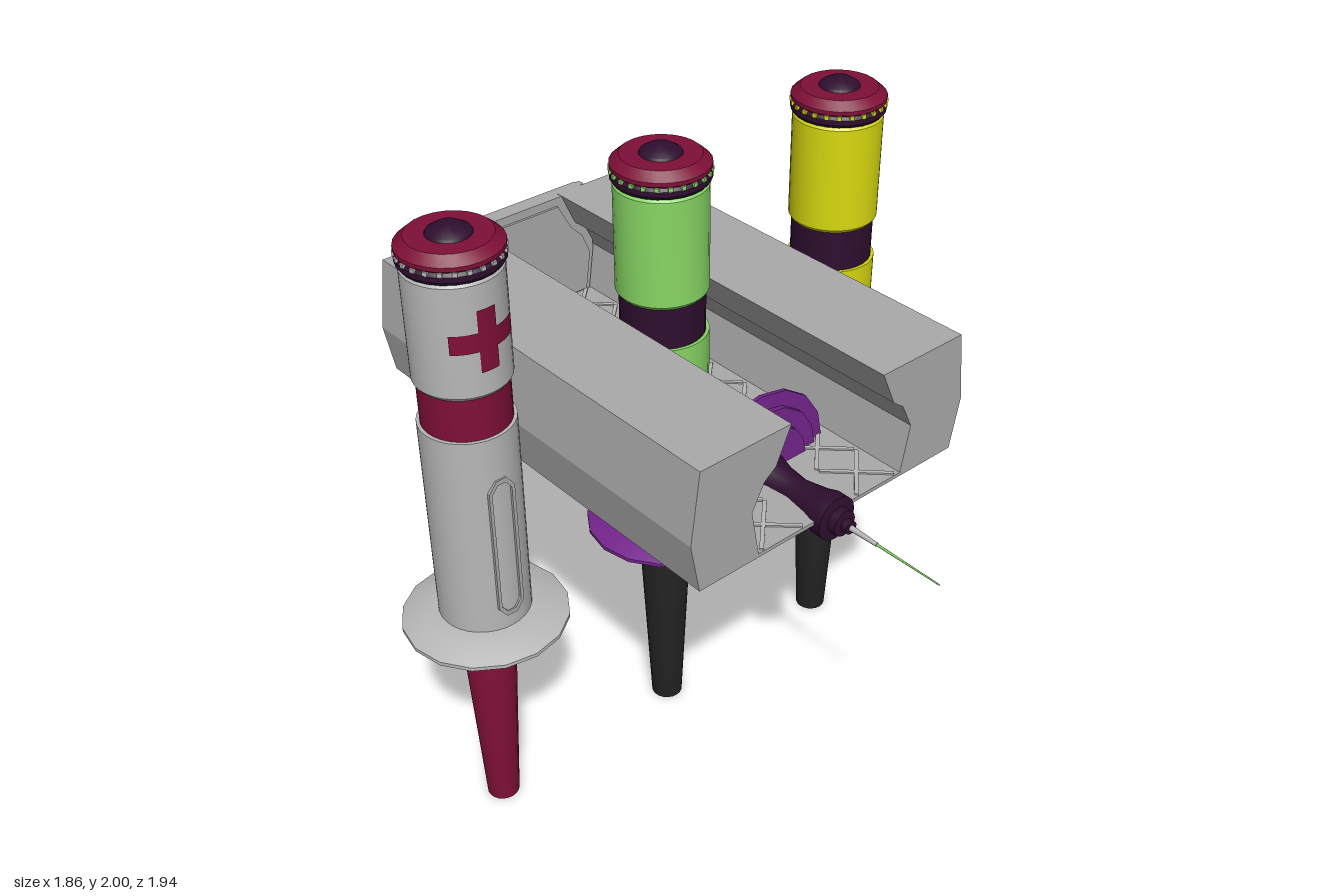
import * as THREE from 'three';
import { toCreasedNormals } from 'three/addons/utils/BufferGeometryUtils.js';

const mat = (name, color, side = THREE.FrontSide) => {
  const m = new THREE.MeshStandardMaterial({ color, side });
  m.name = name;
  return m;
};
const M = {
  white: mat('light grey', 0xb8b8b8),
  grey: mat('tray grey', 0xaaaaaa),
  red: mat('crimson', 0x7f0f38),
  plum: mat('dark plum', 0x2e0e2e),
  green: mat('green', 0x88d664),
  purple: mat('purple', 0x74248c),
  yellow: mat('yellow', 0xd8d810),
  olive: mat('ochre', 0x94781f),
  brown: mat('brown', 0x6b3c1e),
  black: mat('black', 0x222222),
};

function add(parent, name, geo, material, x = 0, y = 0, z = 0) {
  const mesh = new THREE.Mesh(geo, material);
  mesh.name = name;
  mesh.position.set(x, y, z);
  parent.add(mesh);
  return mesh;
}

const lathe = (pts, seg = 24) => toCreasedNormals(
  new THREE.LatheGeometry(pts.map(([r, y]) => new THREE.Vector2(r, y)), seg), 0.45);

const shapeOf = pts => new THREE.Shape(pts.map(([x, y]) => new THREE.Vector2(x, y)));

const extrude = (shape, depth) =>
  new THREE.ExtrudeGeometry(shape, { depth, bevelEnabled: false });

// Pointed strip outline between two heights; either end may be flat
function strip(w, y0, y1, tip0 = true, tip1 = true) {
  const t = w * 0.8;
  const pts = tip0 ? [[-w, y0 + t], [-w * 0.4, y0], [w * 0.4, y0], [w, y0 + t]] : [[-w, y0], [w, y0]];
  pts.push(...(tip1 ? [[w, y1 - t], [w * 0.4, y1], [-w * 0.4, y1], [-w, y1 - t]] : [[w, y1], [-w, y1]]));
  return pts;
}

// Curved patch lying on the front of the barrel
const patch = (w, h) => {
  const a = Math.asin(w / 2 / 0.138);
  return new THREE.CylinderGeometry(0.138, 0.138, h, 12, 1, true, -a, 2 * a);
};

// One injector along y, window facing +z; bands are [from, to, material]
function injector(name, { bands, ring, trim, flange }) {
  const g = new THREE.Group();
  g.name = name;
  for (const [y0, y1, m] of bands) {
    add(g, 'barrelBand', new THREE.CylinderGeometry(0.135, 0.135, y1 - y0, 32), m, 0, (y0 + y1) / 2);
  }
  add(g, 'gripRing', new THREE.CylinderGeometry(0.125, 0.125, 0.14, 32), ring, 0, 1.495);
  add(g, 'upperBarrel', lathe([[0, 1.56], [0.128, 1.56], [0.135, 1.57], [0.135, 1.89], [0.128, 1.9], [0, 1.9]], 32), trim);
  // Stepped finger flange
  add(g, 'fingerFlange', lathe([[0, 0.7], [0.15, 0.7], [0.15, 0.715], [0.2, 0.715], [0.2, 0.73],
    [0.245, 0.733], [0.245, 0.745], [0.18, 0.772], [0.135, 0.78], [0, 0.78]], 16), flange);
  // Push button end with studs
  add(g, 'capCollar', lathe([[0, 1.895], [0.135, 1.9], [0.142, 1.91], [0.142, 1.925], [0.13, 1.94], [0, 1.94]]), M.plum);
  add(g, 'capRing', lathe([[0, 1.93], [0.13, 1.93], [0.142, 1.94], [0.142, 1.952], [0.115, 1.975], [0.06, 1.975], [0, 1.97]]), M.red);
  add(g, 'button', lathe([[0, 1.96], [0.066, 1.965], [0.058, 1.982], [0.035, 1.996], [0, 2]]), M.plum);
  for (let i = 0; i < 24; i++) {
    const a = i / 24 * Math.PI * 2;
    const stud = add(g, 'stud', new THREE.BoxGeometry(0.013, 0.011, 0.01), trim,
      Math.sin(a) * 0.139, 1.932, Math.cos(a) * 0.139);
    stud.rotation.y = a;
  }
  return g;
}

function needleCover(g, m) {
  add(g, 'needleCover', lathe([[0, 0], [0.05, 0], [0.081, 0.64], [0.07, 0.7], [0, 0.7]], 20), m);
}

function windowPlate(g, m, ...args) {
  add(g, 'window', extrude(shapeOf(strip(0.04, ...args)), 0.009), m, 0, 0, 0.13);
}

const greenSpec = {
  bands: [[0.77, 0.87, M.purple], [0.87, 0.94, M.plum], [0.94, 1.11, M.white], [1.11, 1.43, M.green]],
  ring: M.plum, trim: M.green, flange: M.purple,
};

function tray() {
  const g = new THREE.Group();
  g.name = 'tray';
  // Side rails with a bulged outside and a hollowed inside
  const rail = [[0.27, 1.15], [0.48, 1.15], [0.51, 1.31], [0.48, 1.53], [0.17, 1.53],
    [0.22, 1.42], [0.26, 1.39], [0.3, 1.31]];
  for (const s of [-1, 1]) {
    const pts = rail.map(([x, y]) => [x * s, y]);
    add(g, 'sideRail', extrude(shapeOf(pts), 1.41), M.grey, 0, 0, -0.83);
  }
  // End panel with stepped outer face
  const panel = k => shapeOf([[-0.28 * k, 1.152], [0.28 * k, 1.152], [0.305 * k, 1.31], [0.28 * k, 1.528],
    [-0.28 * k, 1.528], [-0.305 * k, 1.31]]);
  add(g, 'endPanel', extrude(panel(1), 0.025), M.grey, 0, 0, -0.86);
  add(g, 'endPanelFace', extrude(panel(0.95), 0.055), M.grey, 0, 0, -0.866);
  add(g, 'endPanelInset', extrude(shapeOf([[-0.25, 1.17], [0.25, 1.17], [0.27, 1.3], [0.24, 1.37],
    [0.2, 1.41], [0.15, 1.5], [-0.15, 1.5], [-0.2, 1.41], [-0.24, 1.37], [-0.27, 1.3]]), 0.008), M.grey, 0, 0, -0.811);
  // Floor and its lattice
  add(g, 'floor', new THREE.BoxGeometry(0.56, 0.012, 1.4), M.grey, 0, 1.156, -0.12);
  for (const s of [-1, 1]) {
    for (let i = 0; i < 9; i++) {
      for (const d of [-1, 1]) {
        const bar = add(g, 'latticeBar', new THREE.BoxGeometry(0.012, 0.006, 0.21), M.white,
          s * 0.18, 1.164, -0.74 + i * 0.155);
        bar.rotation.y = d * 0.8;
      }
    }
  }
  return g;
}

export function createModel() {
  const root = new THREE.Group();
  root.name = 'injectorSet';

  // Pale injector with cross and framed window
  const pale = injector('paleInjector', {
    bands: [[0.77, 1.43, M.white]], ring: M.red, trim: M.white, flange: M.white,
  });
  needleCover(pale, M.red);
  add(pale, 'crossBar', patch(0.19, 0.055), M.red, 0, 1.73);
  add(pale, 'crossPost', patch(0.055, 0.18), M.red, 0, 1.73);
  const frame = shapeOf(strip(0.042, 0.825, 1.295));
  frame.holes.push(new THREE.Path(strip(0.032, 0.84, 1.28).map(([x, y]) => new THREE.Vector2(x, y))));
  add(pale, 'windowFrame', extrude(frame, 0.009), M.grey, 0, 0, 0.13);
  pale.position.set(-0.685, 0, -0.12);

  // Green injector
  const green = injector('greenInjector', greenSpec);
  needleCover(green, M.black);
  windowPlate(green, M.green, 0.83, 1.29);
  green.position.set(0, 0, -0.12);

  // Yellow injector with two-colour window
  const yellow = injector('yellowInjector', {
    bands: [[0.77, 0.82, M.brown], [0.82, 1.11, M.olive], [1.11, 1.43, M.yellow]],
    ring: M.plum, trim: M.yellow, flange: M.brown,
  });
  needleCover(yellow, M.black);
  windowPlate(yellow, M.red, 0.83, 1.18, true, false);
  windowPlate(yellow, M.purple, 1.18, 1.29, false, true);
  yellow.position.set(0.685, 0, -0.12);

  // Uncovered green injector lying in the tray
  const lying = injector('lyingInjector', greenSpec);
  windowPlate(lying, M.green, 0.83, 1.29);
  add(lying, 'needleHub', lathe([[0, 0.375], [0.02, 0.375], [0.02, 0.395], [0.04, 0.4], [0.04, 0.425],
    [0.068, 0.43], [0.068, 0.465], [0.058, 0.5], [0.045, 0.58], [0.052, 0.65], [0.068, 0.71], [0, 0.71]], 20), M.plum);
  add(lying, 'needleBase', new THREE.CylinderGeometry(0.009, 0.006, 0.1, 10), M.white, 0, 0.33);
  add(lying, 'needle', new THREE.CylinderGeometry(0.004, 0.002, 0.23, 8), M.green, 0, 0.175);
  lying.rotation.x = -Math.PI / 2;
  lying.position.set(0, 1.15, 1.03);

  root.add(pale, green, yellow, lying, tray());
  return root;
}
